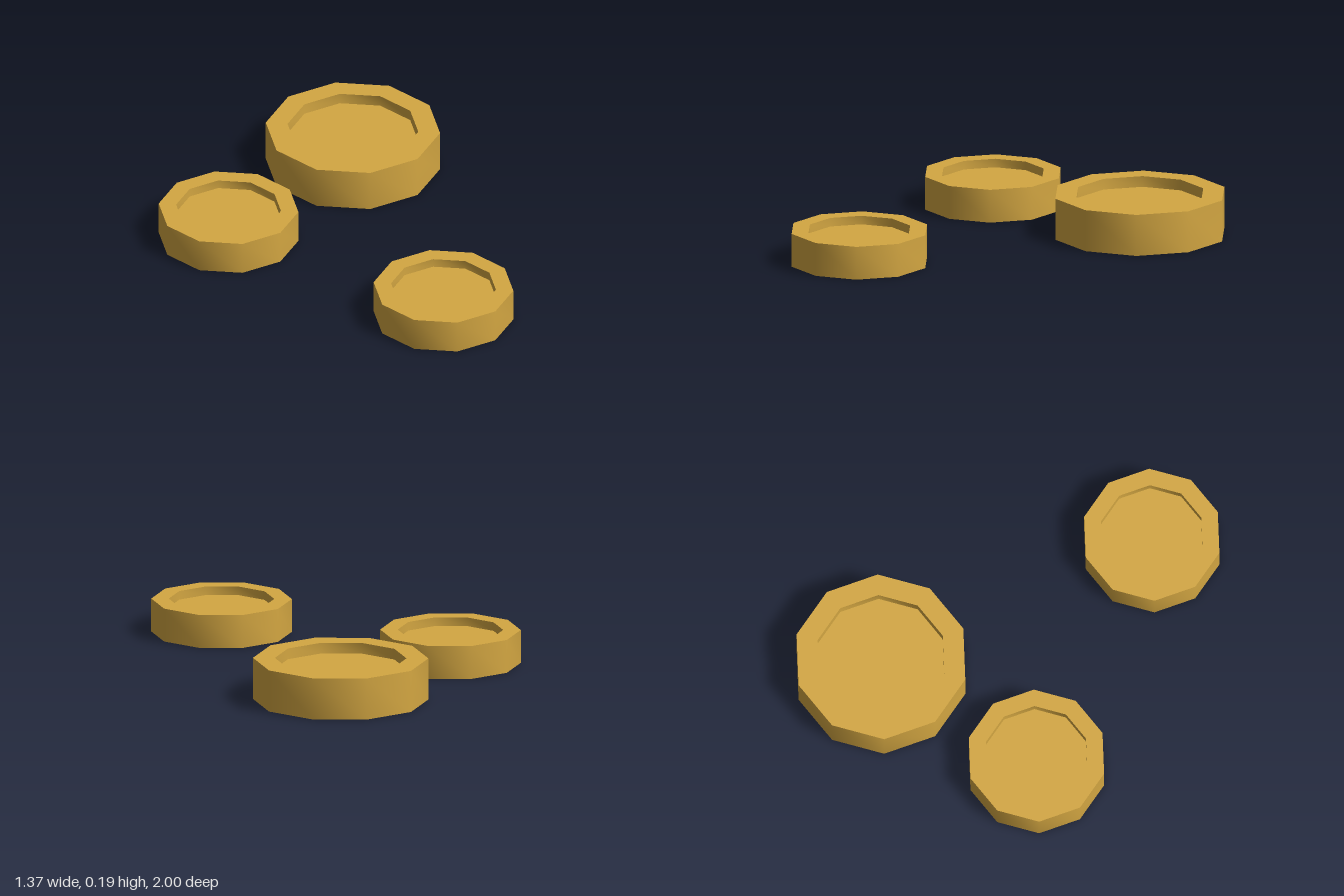
import * as THREE from 'three';
import { toCreasedNormals } from 'three/addons/utils/BufferGeometryUtils.js';

// Ten-sided coin with a raised rim and a recessed disc on both faces
function coinGeometry(radius, height) {
  const inner = radius * 0.75;
  const recess = height * 0.26;
  const profile = [
    [0, recess], [inner, recess], [inner, 0], [radius, 0],
    [radius, height], [inner, height], [inner, height - recess], [0, height - recess],
  ].map(([x, y]) => new THREE.Vector2(x, y));
  // Smooth around the ten sides, sharp at the rims
  return toCreasedNormals(new THREE.LatheGeometry(profile, 10), 0.9);
}

export function createModel() {
  const group = new THREE.Group();
  group.name = 'coins';
  const gold = new THREE.MeshStandardMaterial({ color: 0xd4a742 });
  gold.name = 'gold';

  const coins = [
    { name: 'largeCoin', x: 0.255, z: -0.617, radius: 0.383, height: 0.185 },
    { name: 'smallCoinLeft', x: 0.393, z: 0.693, radius: 0.307, height: 0.148 },
    { name: 'smallCoinRight', x: -0.397, z: -0.133, radius: 0.307, height: 0.148 },
  ];
  for (const { name, x, z, radius, height } of coins) {
    const coin = new THREE.Mesh(coinGeometry(radius, height), gold);
    coin.name = name;
    coin.position.set(x, 0, z);
    group.add(coin);
  }
  return group;
}
